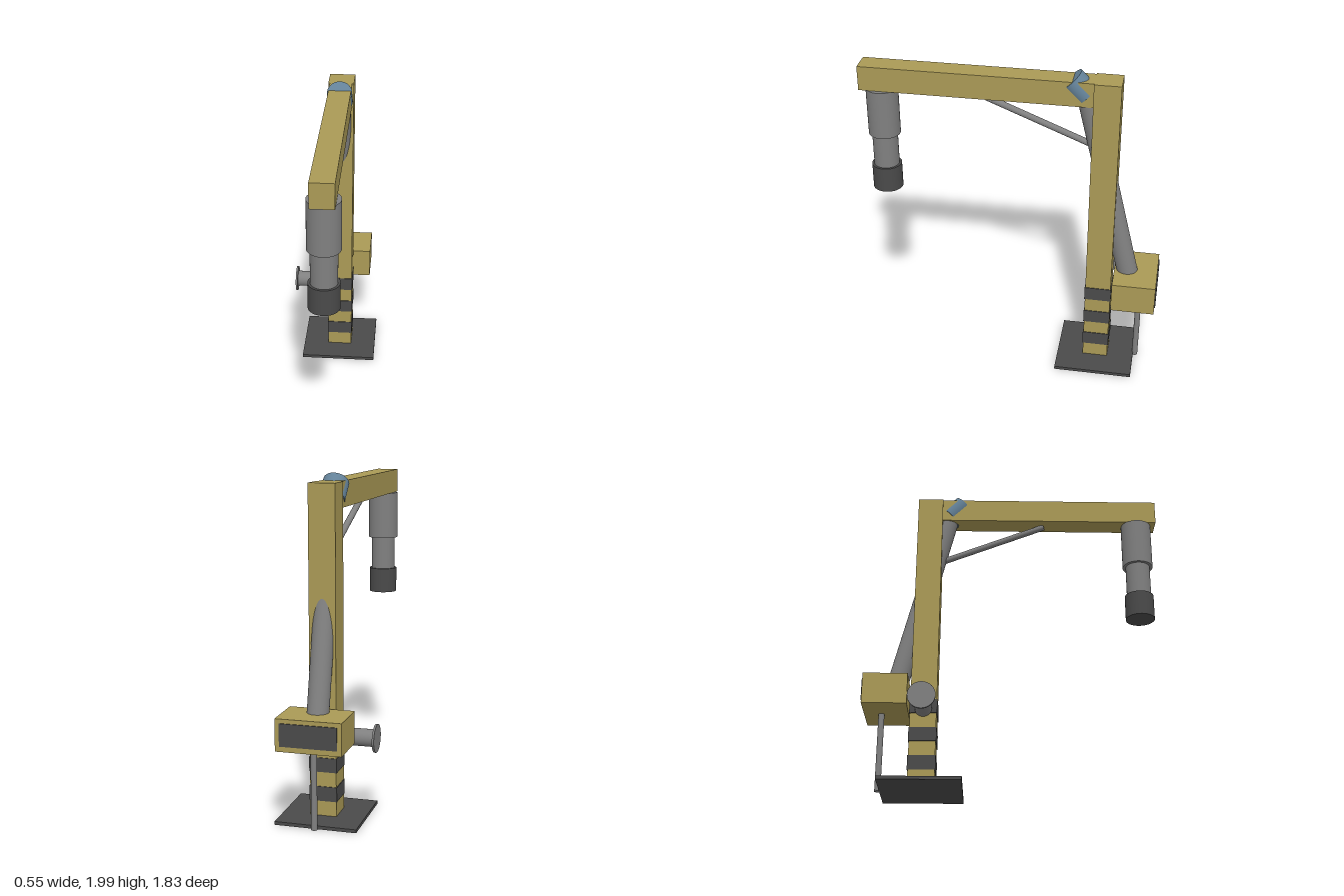
import * as THREE from 'three';

export function createModel() {
  const group = new THREE.Group();
  const mat = (name, color) => {
    const m = new THREE.MeshStandardMaterial({ color });
    m.name = name;
    return m;
  };
  const yellow = mat('ochre paint', 0xaa9a56);
  const grey = mat('grey metal', 0x808080);
  const dark = mat('dark grey', 0x4a4a4a);
  const blue = mat('steel blue', 0x648299);

  const CX = 0.029;   // centre line of the crane
  const POST_Z = -0.548;
  const HEAD_Z = 0.79;

  const add = (name, geometry, material, x, y, z) => {
    const mesh = new THREE.Mesh(geometry, material);
    mesh.name = name;
    mesh.position.set(x, y, z);
    group.add(mesh);
    return mesh;
  };
  // box given by its centre in x and z and its range in y
  const box = (name, material, w, d, y0, y1, x, z) =>
    add(name, new THREE.BoxGeometry(w, y1 - y0, d), material, x, (y0 + y1) / 2, z);
  // round bar between two points
  const bar = (name, material, r, a, b, sides = 32) => {
    const from = new THREE.Vector3(...a), to = new THREE.Vector3(...b);
    const dir = to.clone().sub(from);
    const mid = from.clone().add(to).multiplyScalar(0.5);
    const mesh = add(name, new THREE.CylinderGeometry(r, r, dir.length(), sides), material, mid.x, mid.y, mid.z);
    mesh.quaternion.setFromUnitVectors(new THREE.Vector3(0, 1, 0), dir.normalize());
    return mesh;
  };

  // base and post
  box('basePlate', dark, 0.487, 0.487, 0, 0.02, CX, -0.549);
  box('post', yellow, 0.158, 0.158, 0.02, 1.95, CX, POST_Z);
  [[0.11, 0.198], [0.286, 0.372], [0.462, 0.55]].forEach(([y0, y1], i) =>
    box('warningStripe' + (i + 1), dark, 0.166, 0.166, y0, y1, CX, POST_Z));

  // horizontal arm with its strut
  const armBack = POST_Z + 0.079;
  box('arm', yellow, 0.137, 0.913 - armBack, 1.8, 1.95, CX, (0.913 + armBack) / 2);
  bar('armStrut', grey, 0.019, [CX, 1.793, 0.185], [CX, 1.495, -0.55], 24);

  // slanted pipe running through the post, from the cabinet to the arm
  bar('slantedPipe', grey, 0.064, [CX, 0.6, -0.733], [CX, 1.85, -0.428], 40);

  // tilted cap on the arm joint
  bar('jointCap', blue, 0.076, [CX, 1.85, -0.425], [CX, 1.94, -0.335], 40);

  // telescopic hanging head
  [
    ['headSleeve', grey, 0.096, 1.5, 1.8],
    ['headTube', grey, 0.077, 1.29, 1.5],
    ['headNozzle', dark, 0.091, 1.13, 1.29],
  ].forEach(([name, m, r, y0, y1]) => bar(name, m, r, [CX, y0, HEAD_Z], [CX, y1, HEAD_Z], 40));

  // rear cabinet with panel and support leg
  box('cabinet', yellow, 0.387, 0.267, 0.48, 0.67, CX, -0.7735);
  box('cabinetPanel', dark, 0.335, 0.008, 0.512, 0.645, CX, -0.909);
  bar('cabinetLeg', grey, 0.018, [CX, 0, -0.803], [CX, 0.485, -0.803], 24);

  // side inlet pipe with flange
  bar('inletPipe', grey, 0.051, [-0.262, 0.49, POST_Z], [CX, 0.49, POST_Z]);
  bar('inletFlange', grey, 0.083, [-0.274, 0.49, POST_Z], [-0.262, 0.49, POST_Z]);

  return group;
}
